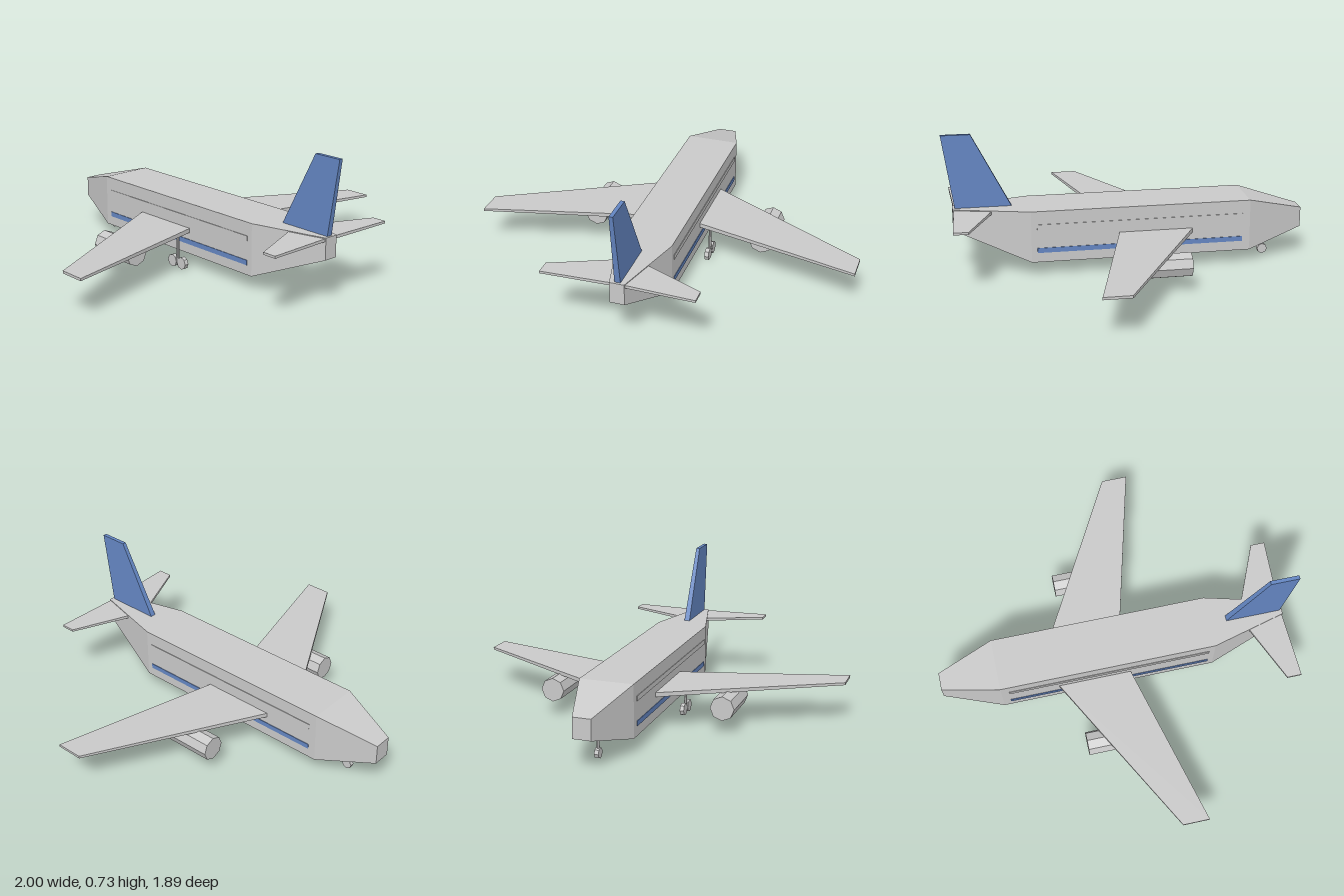
import * as THREE from 'three';
import { ConvexGeometry } from 'three/addons/geometries/ConvexGeometry.js';

export function createModel() {
  const grey = new THREE.MeshStandardMaterial({ name: 'body grey', color: 0xc9c9c9 });
  const blue = new THREE.MeshStandardMaterial({ name: 'trim blue', color: 0x6486c2 });
  const model = new THREE.Group();
  model.name = 'airliner';

  function add(name, geometry, material, x = 0, y = 0, z = 0, parent = model) {
    const mesh = new THREE.Mesh(geometry, material);
    mesh.name = name;
    mesh.position.set(x, y, z);
    parent.add(mesh);
    return mesh;
  }
  const hull = (points) => new ConvexGeometry(points.map((p) => new THREE.Vector3(...p)));

  // Eight-sided cylinder with flat facets, lying along x or z, or upright
  function drum(radius, length, axis, sides = 8) {
    const g = new THREE.CylinderGeometry(radius, radius, length, sides);
    if (axis === 'x') g.rotateZ(Math.PI / 2);
    if (axis === 'z') g.rotateX(Math.PI / 2);
    const flat = g.toNonIndexed();
    flat.computeVertexNormals();
    return flat;
  }

  // Fuselage cross-sections: z, half width, bottom, top (nose towards -z)
  const sections = [
    [-0.945, 0.047, 0.157, 0.263],
    [-0.64, 0.139, 0.075, 0.348],
    [0.51, 0.139, 0.075, 0.348],
    [0.9, 0.037, 0.237, 0.348],
  ];
  add('fuselage', hull(sections.flatMap(([z, w, b, t]) =>
    [[-w, b, z], [w, b, z], [w, t, z], [-w, t, z]])), grey);

  // Tail fin
  const finOutline = [[0.34, 0.594, 0.015], [0.34, 0.887, 0.015], [0.732, 0.945, 0.01], [0.732, 0.795, 0.01]];
  add('tailFin', hull(finOutline.flatMap(([y, z, w]) => [[-w, y, z], [w, y, z]])), blue);

  // Swept surface from stations: x, leading z, trailing z, bottom, top
  const surface = (side, stations) => hull(stations.flatMap(([x, lead, trail, b, t]) =>
    [[side * x, b, lead], [side * x, t, lead], [side * x, b, trail], [side * x, t, trail]]));

  // Wheel pair or single wheel on a strut
  function gear(name, x, z, radius, wheelZs, top) {
    const group = new THREE.Group();
    group.name = name;
    model.add(group);
    add('strut', drum(0.008, top - radius, 'y'), grey, x, (top + radius) / 2, z, group);
    for (const dz of wheelZs) add('wheel', drum(radius, 0.022, 'x'), grey, x, radius, z + dz, group);
  }

  for (const [side, label] of [[1, 'left'], [-1, 'right']]) {
    add(label + 'Wing', surface(side, [
      [0.13, -0.337, 0.052, 0.19, 0.213],
      [1, 0.139, 0.278, 0.204, 0.217],
    ]), grey);
    add(label + 'Stabilizer', surface(side, [
      [0, 0.668, 0.893, 0.328, 0.344],
      [0.385, 0.834, 0.909, 0.332, 0.344],
    ]), grey);
    add(label + 'Engine', drum(0.063, 0.265, 'z'), grey, side * 0.46, 0.138, -0.117);
    // Side trim
    add(label + 'Stripe', new THREE.BoxGeometry(0.006, 0.026, 1.08), blue, side * 0.139, 0.139, -0.06);
    add(label + 'WindowBand', new THREE.BoxGeometry(0.006, 0.026, 1.08), grey, side * 0.139, 0.265, -0.06);
    gear(label + 'MainGear', side * 0.185, 0.015, 0.033, [-0.035, 0.035], 0.2);
  }
  gear('noseGear', 0, -0.75, 0.027, [0], 0.12);

  return model;
}
